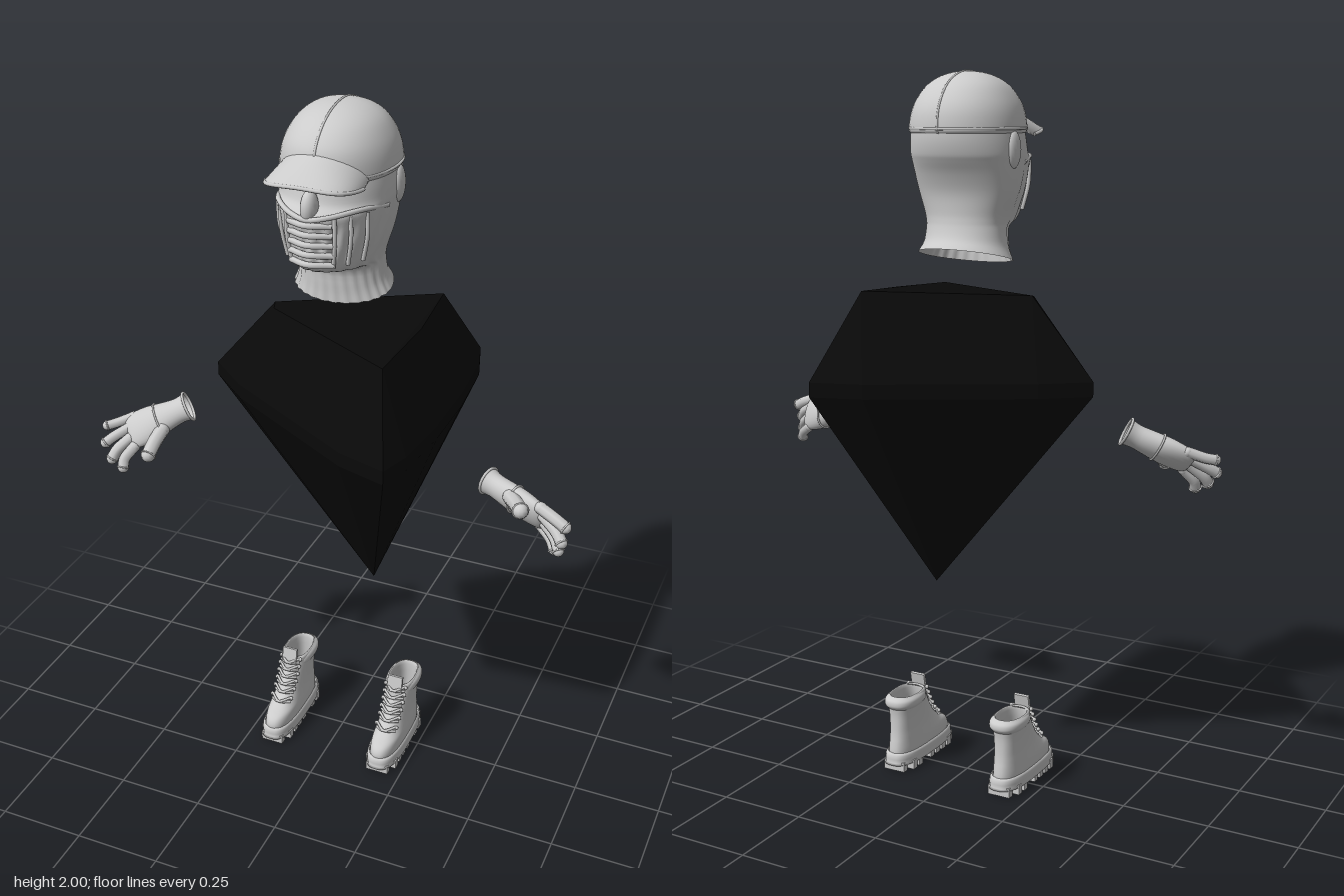
import * as THREE from 'three';
import { ConvexGeometry } from 'three/addons/geometries/ConvexGeometry.js';

const V = (x, y, z) => new THREE.Vector3(x, y, z);
const grey = new THREE.MeshStandardMaterial({ color: 0xcccccc, side: THREE.DoubleSide });
const black = new THREE.MeshStandardMaterial({ color: 0x090909, flatShading: true });

function add(parent, name, geometry, material = grey) {
  const mesh = new THREE.Mesh(geometry, material);
  mesh.name = name;
  parent.add(mesh);
  return mesh;
}

// Skin over a list of closed rings with equal point counts
function skin(rings) {
  const n = rings[0].length, pos = [], idx = [];
  rings.forEach(r => r.forEach(p => pos.push(p.x, p.y, p.z)));
  for (let i = 0; i < rings.length - 1; i++) {
    for (let j = 0; j < n; j++) {
      const a = i * n + j, b = i * n + (j + 1) % n;
      idx.push(a, a + n, b, b, a + n, b + n);
    }
  }
  const g = new THREE.BufferGeometry();
  g.setAttribute('position', new THREE.Float32BufferAttribute(pos, 3));
  g.setIndex(idx);
  g.computeVertexNormals();
  return g;
}

// Smoothly interpolated rows of numbers
function smoothRows(rows, steps) {
  const at = i => rows[Math.max(0, Math.min(rows.length - 1, i))], out = [];
  for (let i = 0; i < rows.length - 1; i++) {
    for (let s = 0; s < steps; s++) {
      const t = s / steps;
      out.push(rows[i].map((b, k) => {
        const a = at(i - 1)[k], c = at(i + 1)[k], d = at(i + 2)[k];
        return b + 0.5 * t * (c - a + t * (2 * a - 5 * b + 4 * c - d + t * (3 * (b - c) + d - a)));
      }));
    }
  }
  return [...out, rows[rows.length - 1]];
}

// Horizontal sections [y, zBack, zFront, halfWidth]; centre gives z of the widest point
function loft(rows, { steps = 4, n = 48, power = 2, centre, shape } = {}) {
  const f = v => Math.sign(v) * Math.pow(Math.abs(v), 2 / power);
  return skin(smoothRows(rows, steps).map(([y, zb, zf, w]) => {
    const zc = centre === undefined ? (zb + zf) / 2 : centre;
    return Array.from({ length: n }, (_, j) => {
      const a = j / n * Math.PI * 2, s = f(Math.sin(a));
      const p = V(w * f(Math.cos(a)), y, zc + s * (s > 0 ? zf - zc : zc - zb));
      if (shape) shape(p, a);
      return p;
    });
  }));
}

const tube = (pts, r, seg = 20, closed = false) =>
  new THREE.TubeGeometry(new THREE.CatmullRomCurve3(pts, closed), seg, r, 8, closed);

// Faceted dark torso
function makeTorso(root) {
  const p = [V(0.09, 0.57, -0.02), V(-0.2, 1.41, 0), V(-0.19, 1.405, 0.03),
    V(0.21, 1.42, -0.21), V(0.21, 1.4, 0.24), V(0.225, 1.41, 0)];
  for (const y of [1.15, 1.19]) {
    p.push(V(-0.385, y, 0));
    for (const s of [-1, 1]) {
      p.push(V(-0.27, y, 0.1 * s), V(0.13, y, 0.335 * s), V(0.27, y, 0.378 * s),
        V(0.297, y, 0.29 * s), V(0.313, y, 0.1 * s));
    }
  }
  add(root, 'torso', new ConvexGeometry(p), black);
}

function makeHead(root) {
  const head = new THREE.Group();
  head.name = 'head';
  root.add(head);
  // Hooded head with cloth folds and a slanted neck hem
  add(head, 'hood', loft([
    [1.505, -0.125, 0.09, 0.135], [1.54, -0.107, 0.092, 0.12], [1.585, -0.094, 0.105, 0.115],
    [1.605, -0.09, 0.18, 0.116], [1.63, -0.089, 0.21, 0.122], [1.68, -0.095, 0.216, 0.138],
    [1.73, -0.115, 0.222, 0.148], [1.765, -0.135, 0.228, 0.152], [1.785, -0.145, 0.2, 0.154],
    [1.82, -0.153, 0.188, 0.152], [1.86, -0.154, 0.176, 0.146], [1.9, -0.146, 0.165, 0.135],
  ], {
    n: 128, centre: -0.005, shape: (p, a) => {
      const front = THREE.MathUtils.smoothstep(Math.sin(a), -0.1, 0.35);
      const low = 1 - THREE.MathUtils.smoothstep(p.y, 1.72, 1.77);
      const k = 1 + 0.016 * front * low * Math.sin(a * 26 + Math.sin(p.y * 30));
      p.x *= k;
      p.z *= k;
      p.y -= 0.24 * p.z * (1 - THREE.MathUtils.smoothstep(p.y, 1.5, 1.59));
    },
  }));
  // Cap crown
  const crown = [[1.838, -0.156, 0.176, 0.15], [1.85, -0.161, 0.182, 0.153], [1.89, -0.157, 0.181, 0.146],
    [1.925, -0.142, 0.168, 0.132], [1.96, -0.113, 0.135, 0.108], [1.983, -0.076, 0.094, 0.077],
    [1.996, -0.035, 0.048, 0.04], [2, 0, 0, 0]];
  add(head, 'capCrown', loft(crown, { power: 2.1, centre: 0 }));
  add(head, 'capSeam', tube([...crown.map(r => V(0, r[0], r[1])),
    ...crown.slice(0, -1).reverse().map(r => V(0, r[0], r[2]))], 0.003, 60));
  add(head, 'capBand', tube(Array.from({ length: 24 }, (_, i) => {
    const a = i / 24 * Math.PI * 2, s = Math.sin(a);
    return V(0.153 * Math.cos(a), 1.85, s * (s > 0 ? 0.181 : 0.16));
  }), 0.004, 72, true));
  // Curved brim
  const brimAt = (u, v) => V(
    THREE.MathUtils.lerp(0.125 * Math.sin(u * 1.2), 0.122 * Math.sin(u * 1.5), v),
    THREE.MathUtils.lerp(1.908 - 0.055 * u * u, 1.86 - 0.024 * u * u, v),
    THREE.MathUtils.lerp(0.175 * Math.cos(u * 1.0), 0.272 - 0.115 * Math.abs(u) ** 3.2, v));
  const row = v => Array.from({ length: 25 }, (_, i) => brimAt(i / 12 - 1, v));
  const brimRing = v => [...row(v), ...row(v).reverse().map(p => p.setY(p.y - 0.009))];
  add(head, 'capBrim', skin([0, 0.25, 0.5, 0.75, 1].map(brimRing)));
  add(head, 'brimEdge', tube(row(1).map(p => p.setY(p.y - 0.004)), 0.005, 48));
  // Nose, mouth slats and mask edge
  const nose = add(head, 'nose', new THREE.SphereGeometry(1, 16, 12));
  nose.scale.set(0.022, 0.045, 0.03);
  nose.position.set(0, 1.785, 0.208);
  for (let i = 0; i < 5; i++) {
    const y = 1.635 + i * 0.027, z = 0.216 + i * 0.003;
    add(head, 'mouthSlat', tube([V(-0.058, y, z - 0.022), V(0, y + 0.004, z + 0.006), V(0.058, y, z - 0.022)], 0.0085));
  }
  add(head, 'maskEdge', tube([-1, -0.6, -0.25, 0, 0.25, 0.6, 1].map(u =>
    V(0.148 * Math.sin(u * 1.35), 1.768 - 0.008 * Math.cos(u * 6), 0.23 * Math.cos(u * 1.35))), 0.007, 40));
  for (const s of [-1, 1]) {
    const ear = add(head, 'ear', new THREE.SphereGeometry(1, 20, 14));
    ear.scale.set(0.017, 0.05, 0.03);
    ear.position.set(s * 0.147, 1.795, -0.012);
    for (const [x, z] of [[0.065, 0.205], [0.095, 0.173], [0.122, 0.13]]) {
      add(head, 'maskFold', tube([V(s * x, 1.765, z), V(s * x * 0.99, 1.7, z - 0.003), V(s * x * 0.87, 1.63, z - 0.012)], 0.006));
    }
  }
}

// Gloved hand from wrist, finger [root, tip] pairs (index to little) and thumb
function makeHand(root, name, wrist, fingers, thumb) {
  const hand = new THREE.Group();
  hand.name = name;
  root.add(hand);
  const first = fingers[0][0], last = fingers[3][0];
  const knuckles = first.clone().add(last).multiplyScalar(0.5);
  const axis = knuckles.clone().sub(wrist).normalize();
  const across = first.clone().sub(last);
  across.addScaledVector(axis, -across.dot(axis)).normalize();
  const thick = across.clone().cross(axis);
  const ring = (t, w, h) => Array.from({ length: 28 }, (_, j) => {
    const a = j / 28 * Math.PI * 2;
    return wrist.clone().lerp(knuckles, t).addScaledVector(across, w * Math.cos(a)).addScaledVector(thick, h * Math.sin(a));
  });
  const rows = smoothRows([[-0.08, 0.043, 0.036], [0.1, 0.037, 0.031], [0.35, 0.043, 0.032], [0.65, 0.053, 0.031],
    [0.95, 0.054, 0.024], [1.08, 0.043, 0.015], [1.1, 0, 0]], 3);
  add(hand, 'palm', skin(rows.map(r => ring(...r))));
  add(hand, 'cuff', tube(ring(-0.06, 0.043, 0.036), 0.004, 48, true));
  add(hand, 'seam', tube(ring(0.5, 0.05, 0.034), 0.003, 48, true));
  [...fingers, thumb].forEach(([a, b], i) => {
    const r = i === 4 ? 0.021 : 0.0165 - 0.001 * Math.max(0, i - 1);
    const bend = axis.clone().multiplyScalar(i === 4 ? 0.004 : 0.014);
    const end = b.clone().lerp(a, 0.12);
    const mid = a.clone().lerp(end, 0.5).add(bend);
    add(hand, i === 4 ? 'thumb' : 'finger', tube([a, mid, end], r, 10));
    for (const p of [a, end]) add(hand, 'joint', new THREE.SphereGeometry(r, 12, 8)).position.copy(p);
    add(hand, 'fingerHem', tube(Array.from({ length: 10 }, (_, k) => {
      const d = end.clone().sub(mid).normalize(), u = d.clone().cross(V(0.3, 0.9, 0.2)).normalize(), w = d.clone().cross(u);
      const t = k / 10 * Math.PI * 2;
      return end.clone().addScaledVector(u, r * Math.cos(t)).addScaledVector(w, r * Math.sin(t));
    }), 0.0025, 20, true));
  });
}

function makeBoot(root, name, x) {
  const boot = new THREE.Group();
  boot.name = name;
  boot.position.x = x;
  root.add(boot);
  // Upper, turning inwards at the open top
  add(boot, 'upper', loft([[0.035, -0.118, 0.165, 0.045], [0.06, -0.117, 0.168, 0.046], [0.082, -0.114, 0.155, 0.045],
    [0.1, -0.111, 0.118, 0.043], [0.125, -0.109, 0.085, 0.041], [0.165, -0.109, 0.055, 0.041],
    [0.2, -0.113, 0.034, 0.043], [0.22, -0.11, 0.027, 0.042], [0.212, -0.1, 0.016, 0.034],
    [0.1, -0.095, 0.03, 0.03], [0.06, -0.03, -0.03, 0]], { power: 2.4 }));
  add(boot, 'collar', loft([[0.187, -0.113, 0.02, 0.042], [0.198, -0.122, 0.024, 0.049],
    [0.213, -0.121, 0.02, 0.048], [0.222, -0.11, 0.012, 0.04]], { power: 2.4 }));
  // Sole with lugs
  add(boot, 'sole', loft([[0.018, 0.02, 0.025, 0], [0.018, -0.118, 0.168, 0.048], [0.025, -0.125, 0.175, 0.051],
    [0.048, -0.125, 0.175, 0.051], [0.054, -0.116, 0.166, 0.046]], { steps: 2, power: 2.8 }));
  for (let i = 0; i < 9; i++) {
    if (i === 3) continue;
    const w = i === 0 || i === 8 ? 0.068 : 0.096;
    add(boot, 'lug', new THREE.BoxGeometry(w, 0.028, 0.019)).position.set(0, 0.014, -0.107 + i * 0.033);
  }
  // Tongue and laces
  const tongue = add(boot, 'tongue', new THREE.BoxGeometry(0.046, 0.09, 0.009));
  tongue.position.set(0, 0.212, 0.03);
  tongue.rotation.x = -0.2;
  for (let i = 0; i < 6; i++) {
    const t = i / 5, y = 0.112 + 0.1 * t, z = 0.108 - 0.07 * Math.pow(t, 0.7);
    for (const s of [-1, 1]) {
      add(boot, 'lace', tube([V(-0.03 * s, y - 0.004, z - 0.015), V(0, y + 0.004, z + 0.005), V(0.03 * s, y + 0.01, z - 0.018)], 0.004, 10));
      add(boot, 'eyelet', new THREE.SphereGeometry(0.006, 8, 6)).position.set(0.032 * s, y + 0.008, z - 0.018);
    }
  }
}

export function createModel() {
  const root = new THREE.Group();
  root.name = 'figure';
  makeTorso(root);
  makeHead(root);
  makeHand(root, 'leftHand', V(0.455, 1.022, 0.056), [
    [V(0.615, 1.028, 0.135), V(0.7, 0.995, 0.16)], [V(0.622, 1.003, 0.13), V(0.695, 0.955, 0.178)],
    [V(0.618, 0.975, 0.112), V(0.685, 0.92, 0.168)], [V(0.605, 0.95, 0.093), V(0.665, 0.9, 0.135)],
  ], [V(0.525, 1.025, 0.11), V(0.583, 1.042, 0.198)]);
  makeHand(root, 'rightHand', V(-0.47, 1.05, 0.053), [
    [V(-0.59, 0.945, 0.148), V(-0.615, 0.882, 0.188)], [V(-0.61, 0.962, 0.138), V(-0.655, 0.9, 0.184)],
    [V(-0.622, 0.985, 0.115), V(-0.688, 0.938, 0.165)], [V(-0.622, 1.008, 0.09), V(-0.695, 0.982, 0.138)],
  ], [V(-0.515, 1.0, 0.11), V(-0.525, 0.945, 0.195)]);
  makeBoot(root, 'rightBoot', -0.167);
  makeBoot(root, 'leftBoot', 0.181);
  return root;
}
